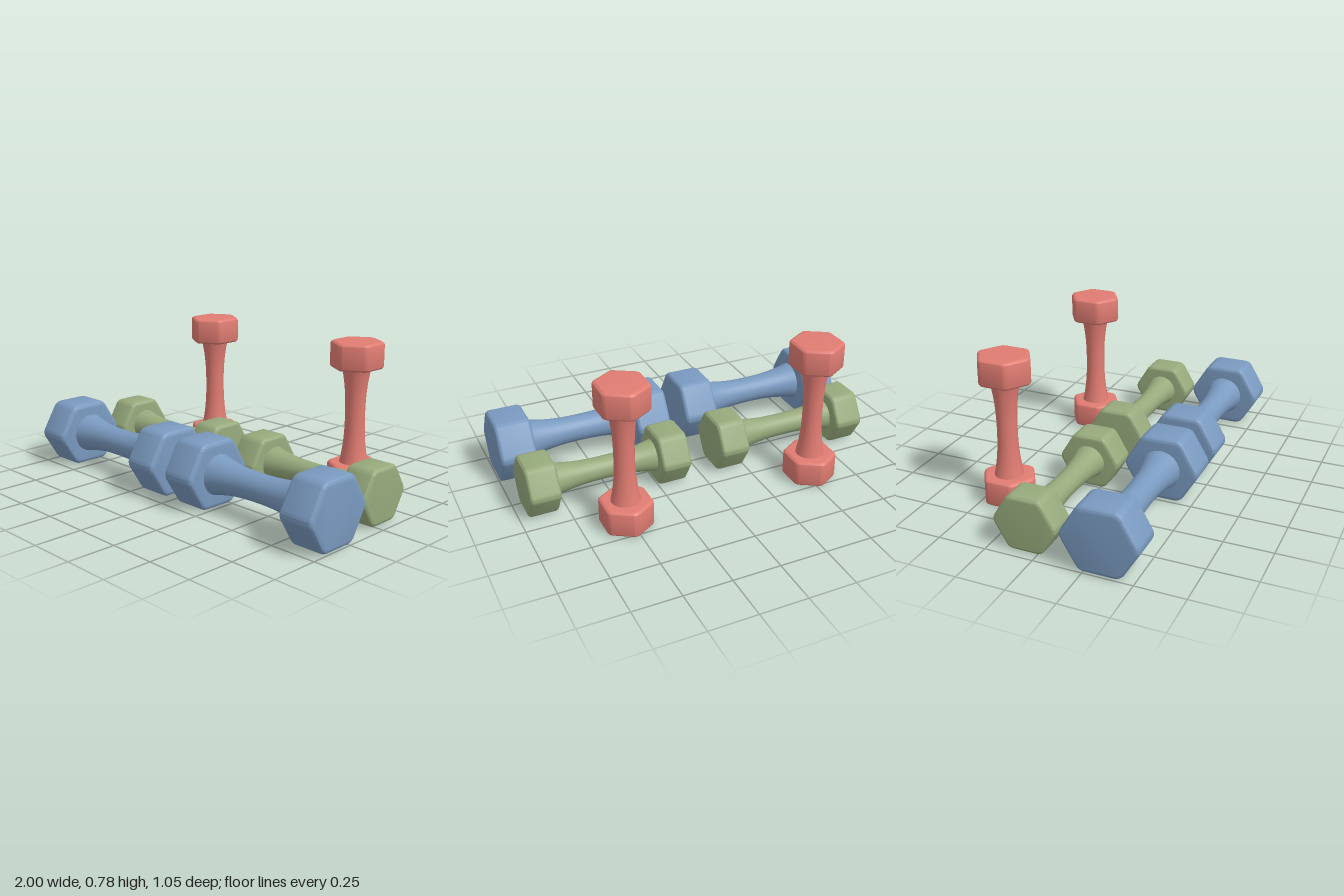
import * as THREE from 'three';
import { toCreasedNormals } from 'three/addons/utils/BufferGeometryUtils.js';

// Hexagon with rounded corners, h tall between its flats, points along x
function hexShape(h) {
  const r = 0.16 * h, d = 0.602 * h - r / Math.cos(Math.PI / 6), n = 8;
  const pts = [];
  for (let i = 0; i < 6; i++) {
    const a = (i * Math.PI) / 3;
    for (let j = 0; j <= n; j++) {
      const t = a + (j / n - 0.5) * (Math.PI / 3);
      pts.push(new THREE.Vector2(
        d * Math.cos(a) + r * Math.cos(t),
        (d * Math.sin(a) + r * Math.sin(t)) * 0.959));
    }
  }
  return new THREE.Shape(pts);
}

// Hexagonal weight with softened rims, centred, axis along x
function headGeometry(h, thick) {
  const b = 0.07 * h;
  const geo = new THREE.ExtrudeGeometry(hexShape(h), {
    depth: thick - 2 * b, bevelEnabled: true, bevelThickness: b,
    bevelSize: b, bevelOffset: -b, bevelSegments: 6,
  });
  geo.translate(0, 0, b - thick / 2);
  geo.rotateY(Math.PI / 2);
  return toCreasedNormals(geo, 0.6);
}

// Round grip, slim in the middle and flared into the weights, axis along x
function handleGeometry(h, length) {
  const pts = [], n = 24;
  for (let i = 0; i <= n; i++) {
    const t = (i / n) * 2 - 1;
    const radius = h * (0.21 + 0.1 * Math.pow(Math.abs(t), 2.4));
    pts.push(new THREE.Vector2(radius, (t * length) / 2));
  }
  return new THREE.LatheGeometry(pts, 40).rotateZ(Math.PI / 2);
}

function dumbbell(name, color, h, length) {
  const group = new THREE.Group();
  group.name = name;
  const material = new THREE.MeshStandardMaterial({ color });
  const thick = 0.57 * h;
  const head = headGeometry(h, thick);
  for (const s of [-1, 1]) {
    const mesh = new THREE.Mesh(head, material);
    mesh.name = s > 0 ? 'leftWeight' : 'rightWeight';
    mesh.position.x = (s * (length - thick)) / 2;
    group.add(mesh);
  }
  const handle = new THREE.Mesh(handleGeometry(h, length - 2 * thick + 0.01), material);
  handle.name = 'handle';
  group.add(handle);
  return group;
}

export function createModel() {
  const model = new THREE.Group();
  model.name = 'dumbbellSet';
  for (const s of [-1, 1]) {
    const side = s > 0 ? 'left' : 'right';
    // Large pair lying in front
    const large = dumbbell(side + 'LargeDumbbell', 0x7a9ac0, 0.34, 0.954);
    large.position.set(s * 0.523, 0.17, 0.329);
    // Medium pair lying in the middle
    const medium = dumbbell(side + 'MediumDumbbell', 0x97aa7c, 0.283, 0.866);
    medium.position.set(s * 0.523, 0.1415, -0.065);
    // Small pair standing upright behind
    const small = dumbbell(side + 'SmallDumbbell', 0xe07c72, 0.246, 0.784);
    small.rotation.z = Math.PI / 2;
    small.position.set(s * 0.523, 0.392, -0.381);
    model.add(large, medium, small);
  }
  return model;
}
